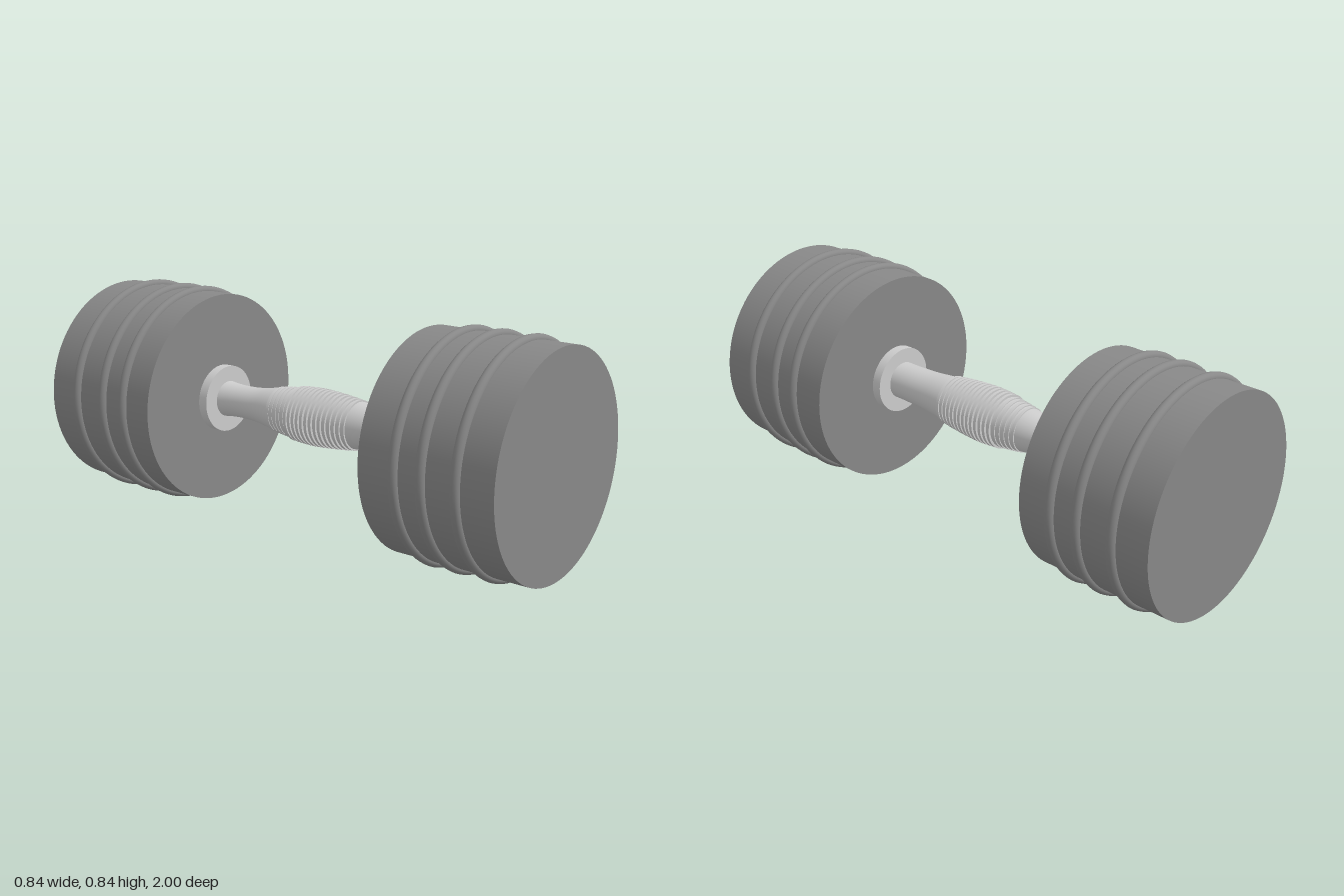
import * as THREE from 'three';

const AXIS_Y = 0.418;
const SEGMENTS = 96;

export function createModel() {
  const model = new THREE.Group();
  model.name = 'dumbbell';
  const steel = new THREE.MeshStandardMaterial({ color: 0xcccccc });
  const iron = new THREE.MeshStandardMaterial({ color: 0x888888 });

  const add = (name, geometry, material, z = 0) => {
    const mesh = new THREE.Mesh(geometry, material);
    mesh.name = name;
    mesh.position.set(0, AXIS_Y, z);
    model.add(mesh);
  };
  // Solid disc along the z axis between two depths
  const disc = (name, radius, z0, z1, material) => {
    const geometry = new THREE.CylinderGeometry(radius, radius, Math.abs(z1 - z0), SEGMENTS);
    add(name, geometry.rotateX(Math.PI / 2), material, (z0 + z1) / 2);
  };

  // Weights, their raised bands and the inner collars
  const ends = [
    { label: 'front', side: 1, bands: [0.625, 0.73, 0.86] },
    { label: 'back', side: -1, bands: [0.612, 0.72, 0.86] },
  ];
  for (const { label, side, bands } of ends) {
    disc(label + 'Weight', 0.4, side * 0.483, side, iron);
    disc(label + 'Collar', 0.127, side * 0.446, side * 0.49, steel);
    for (const z of bands) {
      add(label + 'Band', new THREE.TorusGeometry(0.4, 0.018, 14, SEGMENTS), iron, side * z);
    }
  }

  // Handle: a swelling grip that narrows towards the back, as [radius, z]
  const grip = new THREE.SplineCurve([
    [0.071, 0.46], [0.071, 0.4], [0.075, 0.3], [0.085, 0.2], [0.094, 0.1], [0.097, 0],
    [0.093, -0.1], [0.079, -0.2], [0.066, -0.28], [0.062, -0.35], [0.064, -0.41], [0.07, -0.46],
  ].map(([r, z]) => new THREE.Vector2(r, z)).reverse());
  const profile = grip.getPoints(66);
  add('handle', new THREE.LatheGeometry(profile, 64).rotateX(Math.PI / 2), steel);

  // Grip ridges, standing proud in the middle and fading out at the back
  const radiusAt = (z) => {
    const i = Math.max(1, profile.findIndex((p) => p.y >= z));
    const a = profile[i - 1], b = profile[i];
    return THREE.MathUtils.mapLinear(z, a.y, b.y, a.x, b.x);
  };
  for (let i = 0; i < 19; i++) {
    const z = 0.18 - i * 0.02;
    const height = z < -0.1 ? 0.003 : 0.011 - 0.03 * Math.abs(z);
    disc('gripRidge', radiusAt(z) + height, z - 0.006, z + 0.006, steel);
  }
  return model;
}
